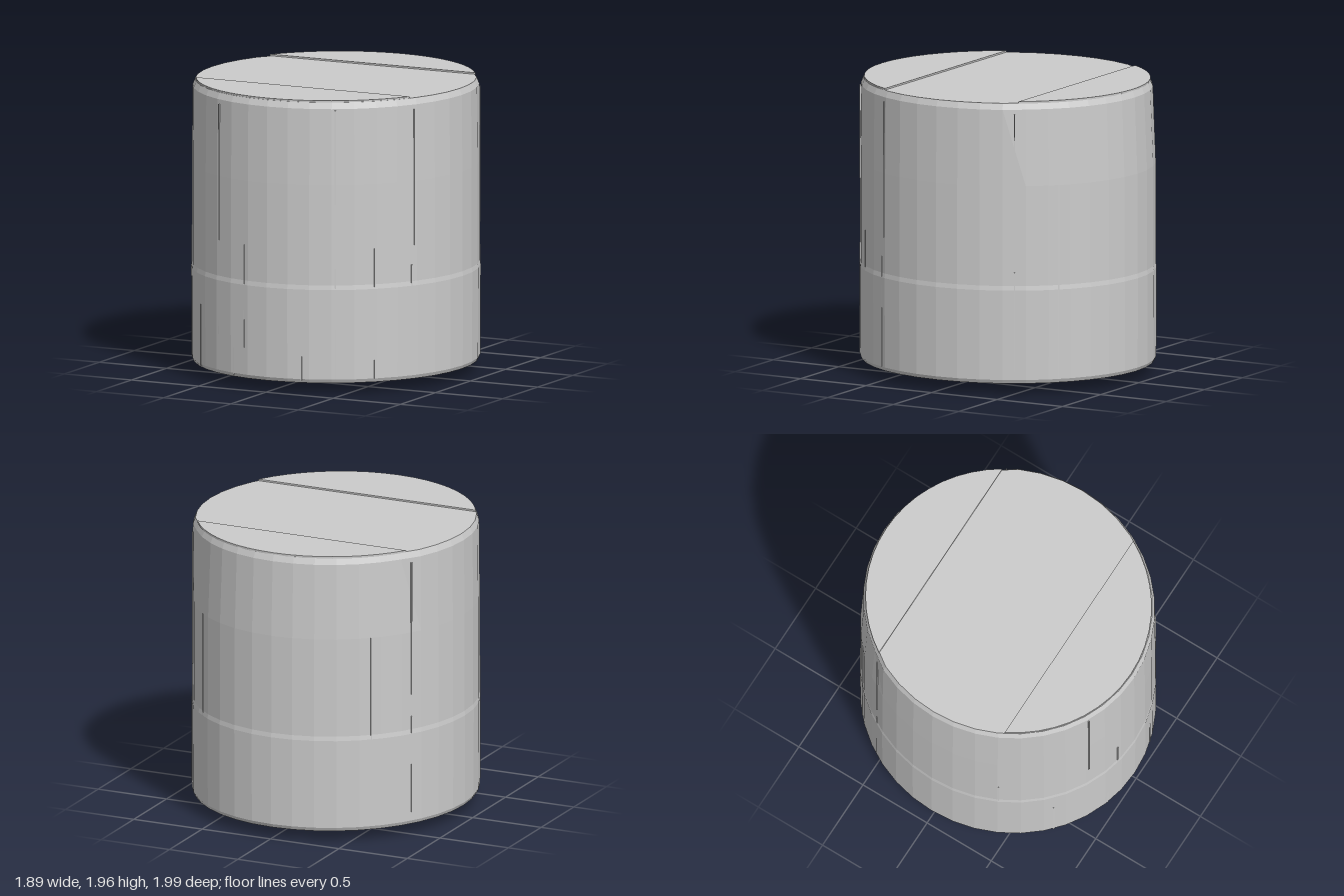
import * as THREE from 'three';

const RX = 0.945, RZ = 0.993, SIDES = 40, CEILING = 0.38;

export function createModel() {
  const group = new THREE.Group();
  const mat = new THREE.MeshStandardMaterial({ color: 0xcccccc, flatShading: true });
  const add = (name, geo, x = 0, y = 0, z = 0, parent = group) => {
    const mesh = new THREE.Mesh(geo, mat);
    mesh.name = name;
    mesh.position.set(x, y, z);
    parent.add(mesh);
    return mesh;
  };

  // Drum: one closed profile from the recessed underside, round the rim, to the top
  const profile = [
    [0, CEILING], [0.82, CEILING], [0.92, 0.08], [0.985, 0.075], [0.997, 0.1],
    [1, 0.7], [0.995, 0.73], [0.995, 1.4], [0.99, 1.91], [0.972, 1.952], [0, 1.952],
  ].map(([r, y]) => new THREE.Vector2(r, y));
  const drum = new THREE.LatheGeometry(profile, SIDES);
  const p = drum.attributes.position;
  for (let i = 0; i < p.count; i++) {
    const row = i % profile.length;
    const step = Math.floor(i / profile.length) % SIDES;
    let k = 1, y = p.getY(i);
    // Jagged facets where the inner wall meets the ceiling
    if (row === 1) k = [1.06, 0.98, 0.84, 1.05, 1.07][step % 5];
    // Back leans in slightly near the top
    if (y > 1.5 && p.getZ(i) < -0.5) k = 0.985;
    p.setXYZ(i, p.getX(i) * RX * k, y, p.getZ(i) * RZ * k);
  }
  drum.computeVertexNormals();
  add('drum', drum);

  // Slightly raised segments at the front and back of the top
  for (const [side, cut, rz] of [[1, 0.475, 0.96], [-1, 0.525, 0.95]]) {
    const a = Math.asin(cut / rz);
    const pts = [];
    for (let i = 0; i <= 18; i++) {
      const t = a + (Math.PI - 2 * a) * i / 18;
      pts.push(new THREE.Vector2(Math.cos(t) * 0.915, -side * Math.sin(t) * rz));
    }
    const plate = new THREE.ExtrudeGeometry(new THREE.Shape(pts), { depth: 0.014, bevelEnabled: false });
    plate.rotateX(-Math.PI / 2);
    add(side > 0 ? 'frontTopPlate' : 'backTopPlate', plate, 0, 1.949, 0);
  }

  // Thin upright seams on the wall
  const seams = new THREE.Group();
  seams.name = 'wallSeams';
  group.add(seams);
  const seam = (t, y0, y1) => {
    const s = add('seam', new THREE.BoxGeometry(0.008, y1 - y0, 0.008),
      Math.sin(t) * RX * 0.993, (y0 + y1) / 2, Math.cos(t) * RZ * 0.993, seams);
    s.rotation.y = t;
  };
  // Front seams: x, bottom, top
  for (const [x, y0, y1] of [
    [-0.84, 0.4, 0.97], [-0.62, 0.09, 0.5], [-0.41, 0.97, 1.88], [-0.41, 0.34, 0.5],
    [-0.27, 0.09, 0.27], [-0.18, 0.28, 0.97], [0.24, 0.09, 0.43], [0.45, 1.27, 1.9],
    [0.45, 0.1, 0.84], [0.66, 0.1, 0.97],
  ]) seam(Math.asin(x / RX), y0, y1);
  // Side seams: z, bottom, top
  for (const [z, y0, y1] of [
    [0.47, 0.97, 1.88], [0.49, 0.1, 0.84], [-0.52, 0.16, 0.82], [-0.52, 0.97, 1.88],
    [-0.75, 0.1, 1.4],
  ]) {
    seam(Math.acos(z / RZ), y0, y1);
    if (z < 0) seam(-Math.acos(z / RZ), y0, y1);
  }

  // Seams across the ceiling of the recess
  for (const z of [-0.53, 0.47])
    add('ceilingSeam', new THREE.BoxGeometry(1.2, 0.012, 0.012), 0, CEILING, z);

  // Central rod with a flared root
  add('rod', new THREE.CylinderGeometry(0.04, 0.04, 0.28, 8), 0.005, 0.14, -0.02);
  add('rodFlare', new THREE.CylinderGeometry(0.2, 0.04, 0.17, 6), 0.005, 0.3, -0.02);
  return group;
}
